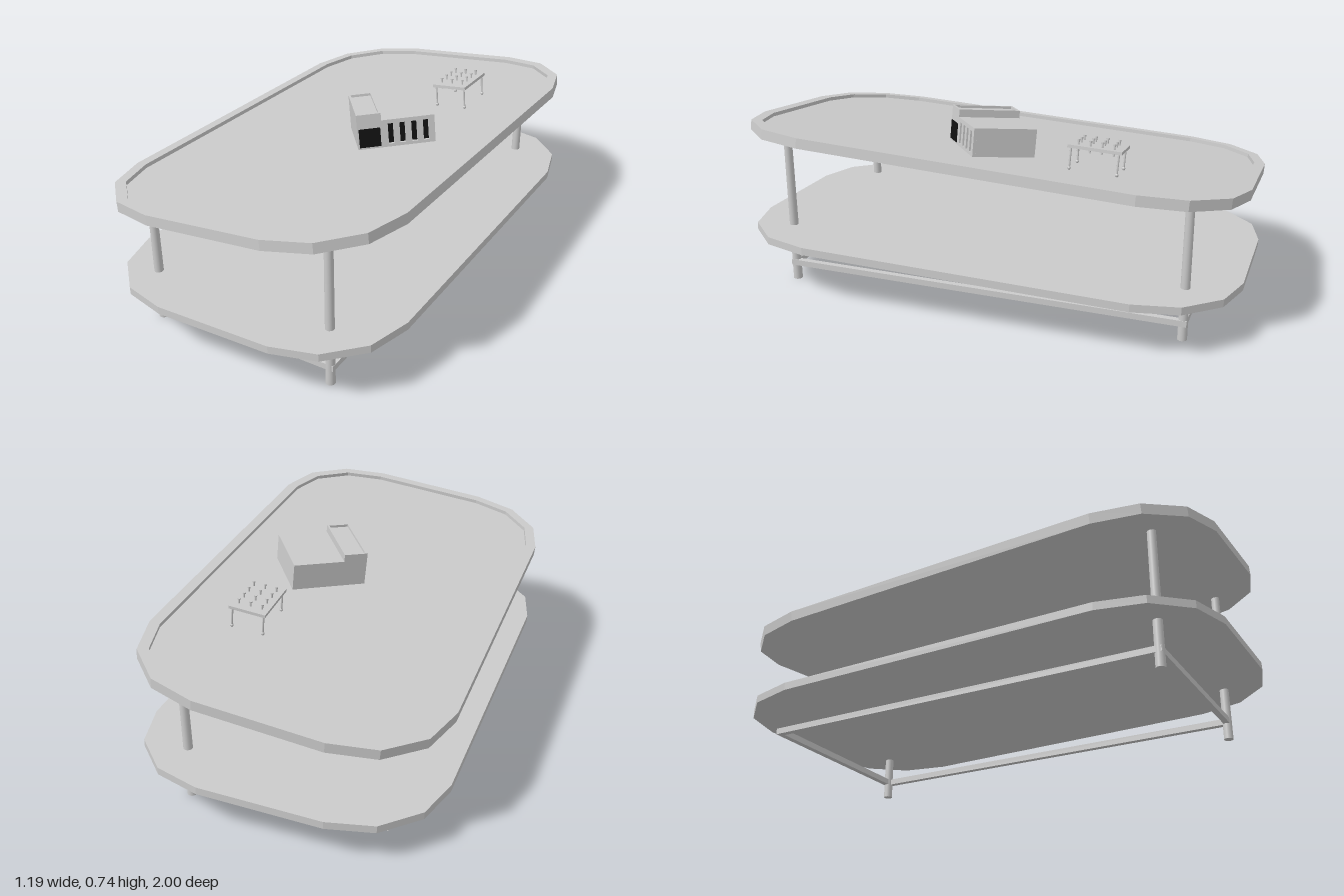
import * as THREE from 'three';

const grey = new THREE.MeshStandardMaterial({ color: 0xcccccc, flatShading: true });
const smooth = new THREE.MeshStandardMaterial({ color: 0xcccccc });
const dark = new THREE.MeshStandardMaterial({ color: 0x111111 });

function add(parent, name, geometry, x, y, z, material = grey) {
  const mesh = new THREE.Mesh(geometry, material);
  mesh.name = name;
  mesh.position.set(x, y, z);
  parent.add(mesh);
  return mesh;
}

const box = (parent, name, w, h, d, x, y, z, material) =>
  add(parent, name, new THREE.BoxGeometry(w, h, d), x, y, z, material);

// Rectangle whose corners are faceted into three 30 degree steps
function outline(inset) {
  const pts = [];
  const r = 0.35 - inset;
  [[1, 1], [-1, 1], [-1, -1], [1, -1]].forEach(([sx, sz], q) => {
    for (let i = 0; i <= 3; i++) {
      const a = q * Math.PI / 2 + i * Math.PI / 6;
      pts.push(new THREE.Vector2(sx * 0.24 + r * Math.cos(a), sz * 0.648 + r * Math.sin(a)));
    }
  });
  return pts;
}

// Flat slab whose underside lies on y = 0
function slab(inset, thickness, holeInset) {
  const shape = new THREE.Shape(outline(inset));
  if (holeInset) shape.holes.push(new THREE.Path(outline(holeInset)));
  const g = new THREE.ExtrudeGeometry(shape, { depth: thickness, bevelEnabled: false });
  return g.rotateX(-Math.PI / 2);
}

function tilted(parent, name, x, y, slopeX, slopeZ) {
  const group = new THREE.Group();
  group.name = name;
  group.position.set(x, y, 0);
  group.rotation.set(-Math.atan(slopeZ), 0, Math.atan(slopeX));
  parent.add(group);
  return group;
}

// Small block with a taller, parapeted end and a colonnaded front
function miniatureBuilding(parent) {
  const b = new THREE.Group();
  b.name = 'miniatureBuilding';
  b.position.set(0.18, -0.015, 0.017);
  b.rotation.y = 0.66;
  parent.add(b);
  box(b, 'lowBlock', 0.205, 0.11, 0.237, 0.0475, 0.055, -0.0065);
  box(b, 'tallBlock', 0.095, 0.13, 0.25, -0.1025, 0.065, 0);
  for (const s of [-1, 1]) {
    box(b, 'parapetSide', 0.008, 0.01, 0.25, -0.1025 + s * 0.0435, 0.135, 0);
    box(b, 'parapetEnd', 0.079, 0.01, 0.008, -0.1025, 0.135, s * 0.121);
  }
  box(b, 'entrance', 0.083, 0.075, 0.004, -0.1025, 0.045, 0.1255, dark);
  // Colonnade: dark backing with five piers, a sill and a lintel
  box(b, 'windowBacking', 0.2, 0.085, 0.002, 0.0475, 0.053, 0.1125, dark);
  box(b, 'lintel', 0.205, 0.016, 0.013, 0.0475, 0.102, 0.1185);
  box(b, 'sill', 0.205, 0.012, 0.013, 0.0475, 0.006, 0.1185);
  for (let i = 0; i < 5; i++) {
    box(b, 'pier', 0.024, 0.082, 0.013, -0.043 + i * 0.0452, 0.053, 0.1185);
  }
}

// Small raised board with posts through it and four footed legs
function miniatureRack(parent) {
  const r = new THREE.Group();
  r.name = 'miniatureRack';
  r.position.set(0.26, -0.015, -0.428);
  r.rotation.y = 0.02;
  parent.add(r);
  box(r, 'board', 0.145, 0.012, 0.205, 0, 0.09, 0);
  const post = new THREE.CylinderGeometry(0.004, 0.004, 0.044, 8);
  const knob = new THREE.CylinderGeometry(0.006, 0.006, 0.006, 8);
  for (let i = 0; i < 3; i++) {
    for (let j = 0; j < 4; j++) {
      const x = (i - 1) * 0.046, z = (j - 1.5) * 0.045;
      add(r, 'post', post, x, 0.092, z, smooth);
      add(r, 'postKnob', knob, x, 0.114, z, smooth);
    }
  }
  const leg = new THREE.CylinderGeometry(0.004, 0.004, 0.086, 8);
  const foot = new THREE.SphereGeometry(0.007, 8, 6);
  for (const sx of [-1, 1]) {
    for (const sz of [-1, 1]) {
      add(r, 'rackLeg', leg, sx * 0.062, 0.043, sz * 0.09, smooth);
      add(r, 'rackFoot', foot, sx * 0.062, 0.007, sz * 0.09, smooth);
    }
  }
}

export function createModel() {
  const model = new THREE.Group();
  model.name = 'tiltedTable';

  // Tabletop: raised rim around a sunken surface, leaning to the missing leg
  const top = tilted(model, 'tabletop', -0.008, 0.583, 0.122, 0.05);
  add(top, 'rim', slab(0, 0.04, 0.042), 0, -0.04, 0);
  add(top, 'surface', slab(0.042, 0.025), 0, -0.04, 0);
  miniatureBuilding(top);
  miniatureRack(top);

  // Lower shelf
  const shelf = tilted(model, 'lowerShelf', 0.004, 0.21, 0.04, 0.02);
  add(shelf, 'shelfBoard', slab(0, 0.03), 0, -0.03, 0);

  // Three legs; the back one on the -x side is absent
  for (const [x, z] of [[-0.393, 0.807], [0.374, 0.807], [0.374, -0.805]]) {
    const h = 0.55 + 0.122 * x + 0.05 * z;
    add(model, 'leg', new THREE.CylinderGeometry(0.0165, 0.0185, h, 16), x, h / 2, z, smooth);
  }

  // Rails joining the feet
  const rails = tilted(model, 'footRails', -0.008, 0.069, 0.01, 0.003);
  for (const s of [-1, 1]) {
    box(rails, 'longRail', 0.024, 0.024, 1.64, s * 0.389, 0, 0);
    box(rails, 'shortRail', 0.754, 0.024, 0.024, 0, 0, s * 0.808);
  }
  return model;
}
